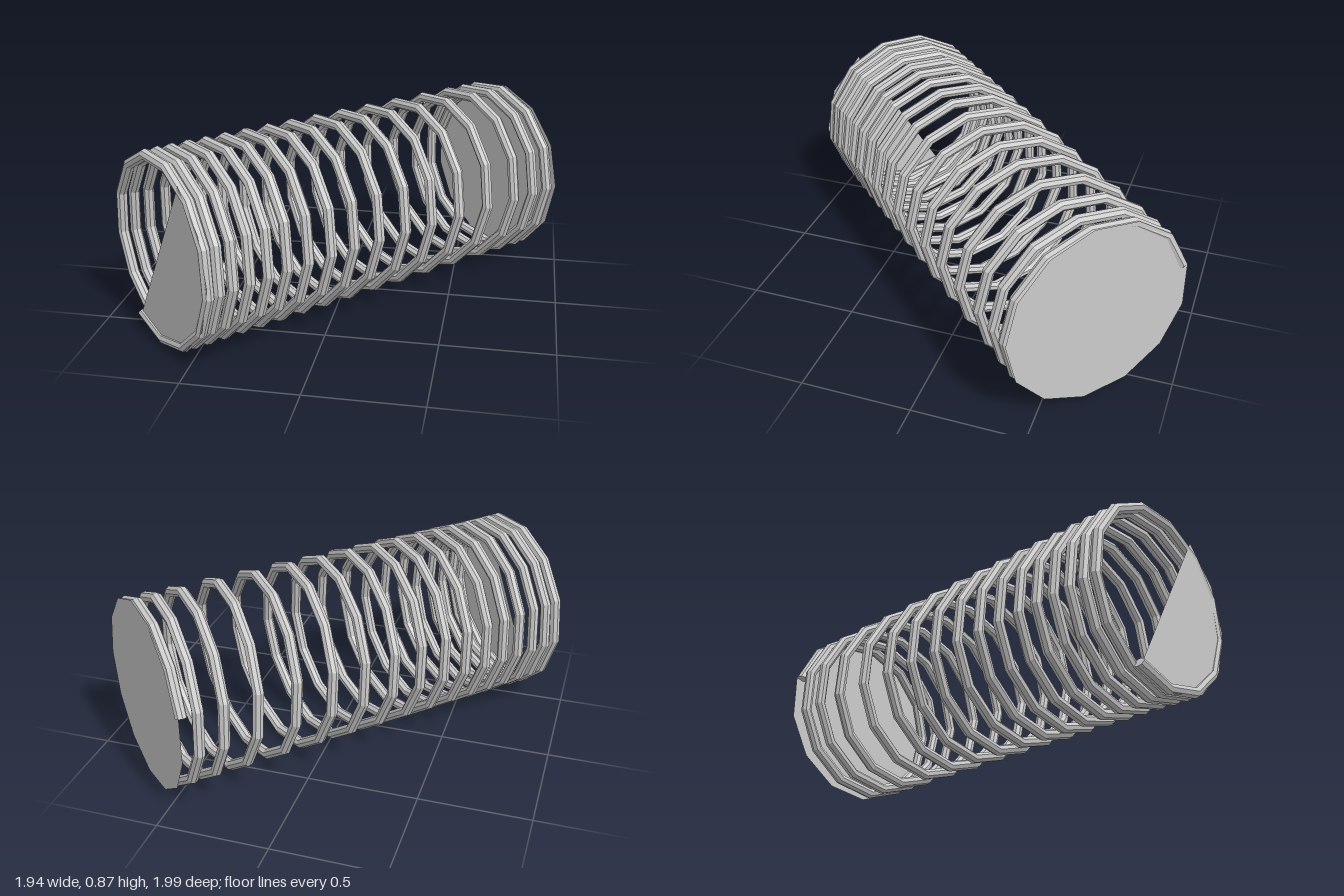
import * as THREE from 'three';

const RADIUS = 0.41, WIRE = 0.025, SEGMENTS_PER_TURN = 13;
const START = -0.33, END = 16.46; // first and last turn of the wire

// Position along the axis at each full turn: tight at the ends, open near one side
const TURNS = [-0.958, -0.908, -0.844, -0.767, -0.68, -0.588, -0.484, -0.368, -0.248,
  -0.113, 0.033, 0.185, 0.351, 0.525, 0.70, 0.825, 0.92, 0.96];

function axial(turn) {
  if (turn <= 0) return TURNS[0] + turn * 0.02;
  const i = Math.min(Math.floor(turn), TURNS.length - 2);
  const p = (k) => TURNS[Math.max(0, Math.min(TURNS.length - 1, k))];
  const f = turn - i;
  const m0 = (p(i + 1) - p(i - 1)) / 2, m1 = (p(i + 2) - p(i)) / 2;
  const f2 = f * f, f3 = f2 * f;
  return (2 * f3 - 3 * f2 + 1) * p(i) + (f3 - 2 * f2 + f) * m0
    + (3 * f2 - 2 * f3) * p(i + 1) + (f3 - f2) * m1;
}

// Variable-pitch helix running towards local -z
class Coil extends THREE.Curve {
  getPoint(u, target = new THREE.Vector3()) {
    const turn = START + (END - START) * u, angle = turn * Math.PI * 2;
    return target.set(RADIUS * Math.cos(angle), RADIUS * Math.sin(angle), -axial(turn));
  }
}

export function createModel() {
  const model = new THREE.Group();
  model.name = 'coilSpring';
  const material = new THREE.MeshStandardMaterial({
    color: 0xcccccc, flatShading: true, side: THREE.DoubleSide,
  });
  const add = (name, geometry) => {
    const mesh = new THREE.Mesh(geometry, material);
    mesh.name = name;
    model.add(mesh);
    return mesh;
  };

  // Coiled wire
  const coil = new Coil();
  coil.arcLengthDivisions = 3000;
  const steps = Math.round((END - START) * SEGMENTS_PER_TURN);
  add('coiledWire', new THREE.TubeGeometry(coil, steps, WIRE, 8, false));

  // Wire tips
  for (const [name, u] of [['frontWireTip', 0], ['rearWireTip', 1]]) {
    const tip = add(name, new THREE.CircleGeometry(WIRE, 8));
    const point = coil.getPoint(u);
    tip.position.copy(point);
    tip.lookAt(point.clone().add(coil.getTangent(u)));
  }

  // Thin end plates: a half disc in front, a full disc at the rear
  const plate = (name, from, sweep, sides, z) => {
    const shape = new THREE.Shape();
    const count = sweep < Math.PI * 2 ? sides + 1 : sides;
    for (let i = 0; i < count; i++) {
      const angle = from + (sweep * i) / sides, r = RADIUS + WIRE * 0.8;
      const x = r * Math.cos(angle), y = r * Math.sin(angle);
      if (i) shape.lineTo(x, y); else shape.moveTo(x, y);
    }
    add(name, new THREE.ShapeGeometry(shape)).position.z = z;
  };
  plate('frontHalfPlate', THREE.MathUtils.degToRad(-118), THREE.MathUtils.degToRad(175), 6, 0.975);
  plate('rearPlate', THREE.MathUtils.degToRad(166), Math.PI * 2, 13, -0.962);

  // Lay the spring diagonally on the ground
  model.rotation.y = -0.761;
  model.position.y = 0.437;
  const root = new THREE.Group();
  root.name = 'spring';
  root.add(model);
  return root;
}
